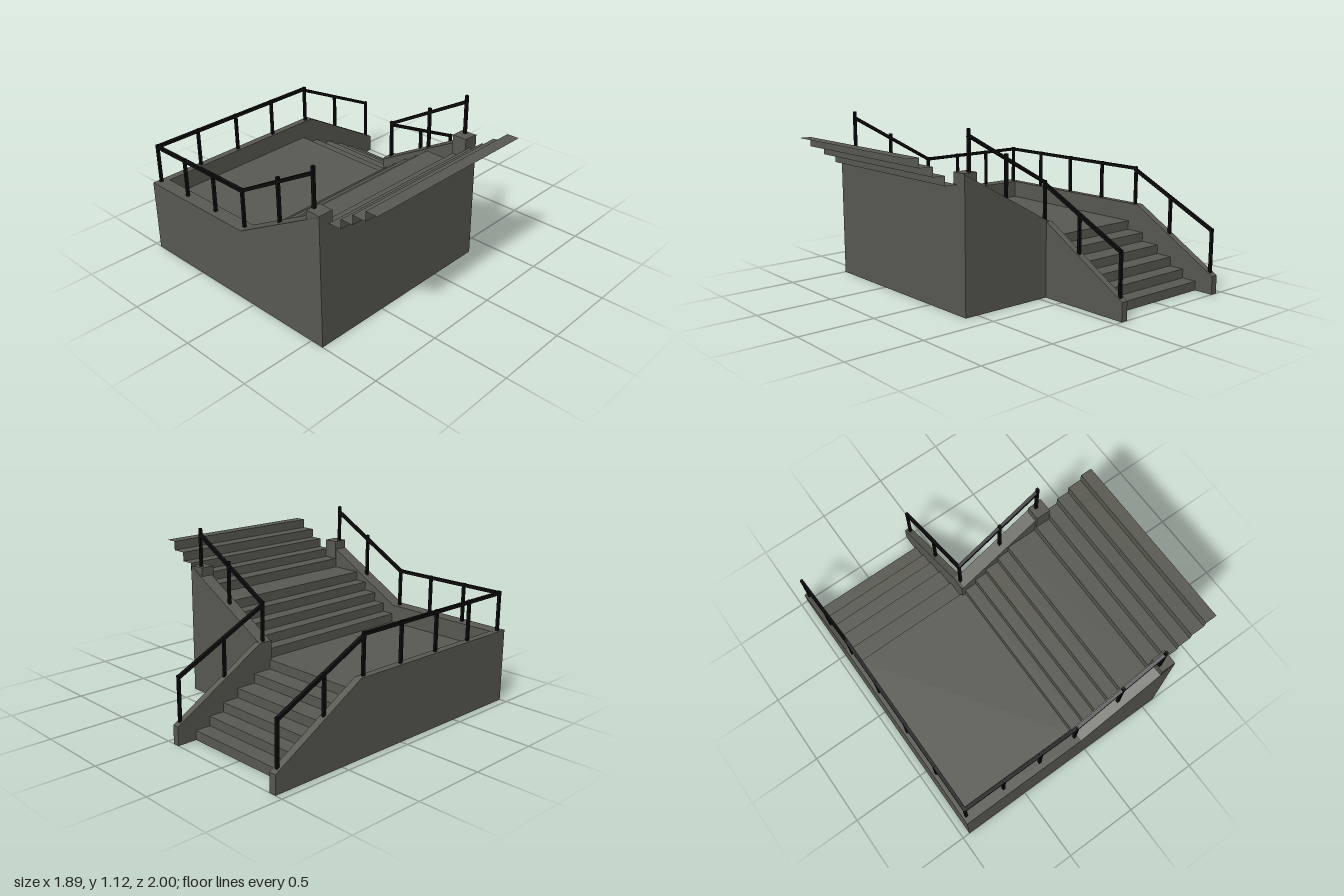
import * as THREE from 'three';

export function createModel() {
  const concrete = new THREE.MeshStandardMaterial({ color: 0x5a5a53, side: THREE.DoubleSide });
  concrete.name = 'concrete';
  const iron = new THREE.MeshStandardMaterial({ color: 0x0c0c0c });
  iron.name = 'blackIron';

  const model = new THREE.Group();
  model.name = 'staircase';

  const add = (name, geometry, material, parent = model) => {
    const mesh = new THREE.Mesh(geometry, material);
    mesh.name = name;
    parent.add(mesh);
    return mesh;
  };
  const box = (name, x0, x1, y0, y1, z0, z1) =>
    add(name, new THREE.BoxGeometry(x1 - x0, y1 - y0, z1 - z0), concrete)
      .position.set((x0 + x1) / 2, (y0 + y1) / 2, (z0 + z1) / 2);
  const extrude = (points, depth) => new THREE.ExtrudeGeometry(
    new THREE.Shape(points.map(([u, v]) => new THREE.Vector2(u, v))), { depth, bevelEnabled: false });

  // Wall with an (x, y) profile, spanning z0..z1
  const wallAlongX = (name, points, z0, z1) =>
    add(name, extrude(points, z1 - z0).translate(0, 0, z0), concrete);
  // Wall with a (z, y) profile, spanning x0..x1
  const wallAlongZ = (name, points, x0, x1) =>
    add(name, extrude(points, x1 - x0).rotateY(-Math.PI / 2).translate(x1, 0, 0), concrete);

  // Parapet walls and end wall
  wallAlongX('frontWall', [[-0.95, 0], [0.59, 0], [0.59, 0.86], [-0.08, 0.49], [-0.95, 0.485]], 0.905, 1);
  wallAlongX('innerUpperWall', [[-0.1, 0], [0.59, 0], [0.59, 0.86], [-0.08, 0.49], [-0.1, 0.49]], -0.355, -0.265);
  wallAlongZ('outerSideWall', [[-1, 0], [0.905, 0], [0.905, 0.485], [-0.36, 0.49], [-1, 0.12]], -0.95, -0.903);
  wallAlongZ('innerLowerWall', [[-1, 0], [-0.265, 0], [-0.265, 0.49], [-0.36, 0.49], [-1, 0.12]], -0.1, -0.055);
  box('endWall', 0.49, 0.59, 0, 0.735, -0.3, 0.95);
  box('frontPillar', 0.49, 0.59, 0.6, 0.863, 0.9, 0.998);
  box('innerPillar', 0.49, 0.59, 0.6, 0.863, -0.345, -0.25);

  // Thin folded sheet through a run of (run, height) points, swept between a and b
  const foldedSheet = (points, a, b, place) => {
    const positions = [];
    for (let i = 0; i < points.length - 1; i++) {
      const [p, q] = [points[i], points[i + 1]];
      const [p0, p1, q0, q1] = [place(p, a), place(p, b), place(q, a), place(q, b)];
      positions.push(...p0, ...p1, ...q1, ...p0, ...q1, ...q0);
    }
    const geometry = new THREE.BufferGeometry();
    geometry.setAttribute('position', new THREE.Float32BufferAttribute(positions, 3));
    geometry.computeVertexNormals();
    return geometry;
  };
  // Stair profile: one riser at each position, ending with a tread up to "end"
  const rise = 0.061;
  const stairProfile = (risers, start, end) => {
    const points = [];
    risers.forEach((u, i) => points.push([u, start + i * rise], [u, start + (i + 1) * rise]));
    points.push([end, start + risers.length * rise]);
    return points;
  };
  const landingY = 6 * rise;

  // Lower flight and landing, climbing towards +z
  add('lowerFlightAndLanding', foldedSheet(
    stairProfile([-0.87, -0.765, -0.66, -0.545, -0.41, -0.28], 0, 0.91),
    -0.91, -0.075, ([z, y], x) => [x, y, z]), concrete);
  // Upper flight, climbing towards +x and jutting past the end wall
  add('upperFlight', foldedSheet(
    stairProfile([-0.075, 0.01, 0.095, 0.19, 0.275, 0.489, 0.591, 0.68, 0.765, 0.86], landingY, 0.94),
    -0.29, 0.93, ([x, y], z) => [x, y, z]), concrete);

  // Railings
  const railing = new THREE.Group();
  railing.name = 'railing';
  model.add(railing);
  const post = (x, z, y0, y1) =>
    add('railPost', new THREE.BoxGeometry(0.018, y1 - y0 + 0.02, 0.018), iron, railing)
      .position.set(x, (y0 + y1) / 2 - 0.01, z);
  const rail = (a, b) => {
    const start = new THREE.Vector3(...a);
    const end = new THREE.Vector3(...b);
    const bar = add('handRail', new THREE.BoxGeometry(0.022, 0.02, start.distanceTo(end) + 0.01), iron, railing);
    bar.position.copy(start).add(end).multiplyScalar(0.5);
    bar.lookAt(end);
  };

  // Level rails around the landing
  const railY = 0.735;
  rail([-0.925, railY, 0.953], [-0.1, railY, 0.953]);
  rail([-0.925, railY, 0.953], [-0.925, railY, -0.32]);
  for (const x of [-0.645, -0.37, -0.1]) post(x, 0.953, 0.485, 0.748);
  for (let i = 0; i < 5; i++) post(-0.925, 0.953 - i * 0.318, 0.485, 0.748);

  // Sloping rails beside the upper flight
  for (const [x, z] of [[-0.1, 0.953], [-0.075, -0.318]]) {
    rail([x, railY, z], [x + 0.605, 1.075, z]);
    post(x + 0.32, z, 0.65, 0.945);
    post(x + 0.605, z, 0.86, 1.117);
  }
  post(-0.075, -0.318, 0.49, 0.748);

  // Sloping rails beside the lower flight
  for (const x of [-0.925, -0.075]) {
    rail([x, 0.725, -0.318], [x, 0.413, -0.965]);
    post(x, -0.625, 0.34, 0.585);
    post(x, -0.965, 0.135, 0.425);
  }

  return model;
}
